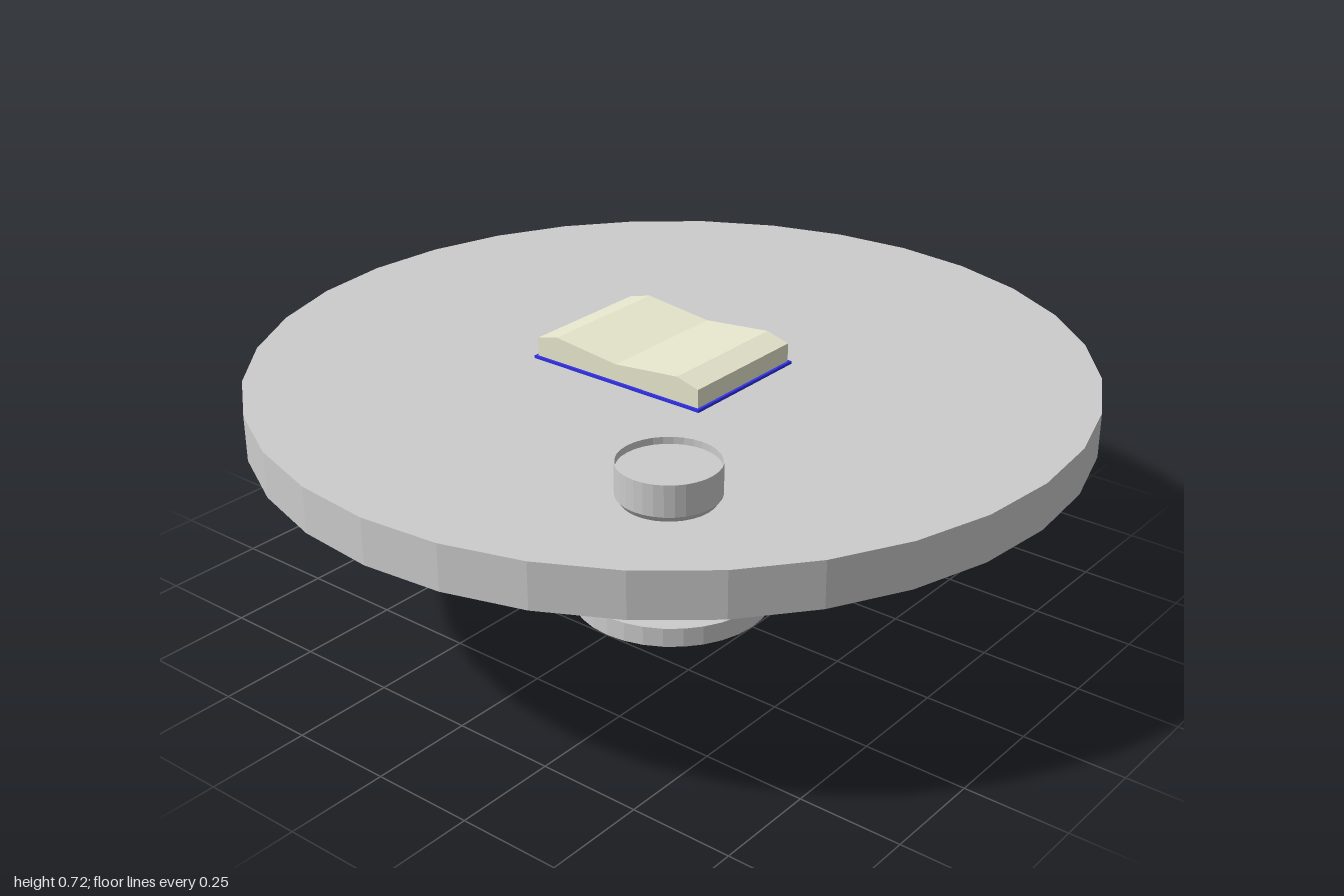
import * as THREE from 'three';

const grey = new THREE.MeshStandardMaterial({ name: 'grey', color: 0xcccccc, flatShading: true, side: THREE.DoubleSide });
const paper = new THREE.MeshStandardMaterial({ name: 'paper', color: 0xececd2, flatShading: true });
const blue = new THREE.MeshStandardMaterial({ name: 'blue', color: 0x3333ee, flatShading: true });

export function createModel() {
  const model = new THREE.Group();
  const add = (name, geometry, material, x, y, z) => {
    const mesh = new THREE.Mesh(geometry, material);
    mesh.name = name;
    mesh.position.set(x, y, z);
    model.add(mesh);
  };

  // Round pedestal table
  add('base', new THREE.CylinderGeometry(0.25, 0.25, 0.05, 32), grey, 0, 0.025, 0);
  add('post', new THREE.BoxGeometry(0.07, 0.47, 0.07), grey, 0, 0.285, 0);
  add('tableTop', new THREE.CylinderGeometry(1, 1, 0.11, 32), grey, 0, 0.575, 0);

  // Shallow dish with a bevelled foot and a thin rim
  const dish = [[0, 0], [0.103, 0], [0.113, 0.014], [0.113, 0.086], [0.111, 0.086], [0.111, 0.07], [0, 0.07]];
  add('dish', new THREE.LatheGeometry(dish.map(p => new THREE.Vector2(...p)), 32), grey, -0.545, 0.63, 0.43);

  // Open book: cover plate and pages extruded across x
  add('bookCover', new THREE.BoxGeometry(0.354, 0.007, 0.494), blue, -0.005, 0.6335, -0.025);
  const pages = new THREE.Shape([
    [-0.215, 0.636], [0.265, 0.636], [0.265, 0.682], [0.205, 0.698],
    [0.025, 0.679], [-0.155, 0.698], [-0.215, 0.682],
  ].map(p => new THREE.Vector2(...p)));
  const pageBlock = new THREE.ExtrudeGeometry(pages, { depth: 0.342, bevelEnabled: false });
  pageBlock.rotateY(Math.PI / 2);
  add('bookPages', pageBlock, paper, -0.176, 0, 0);

  return model;
}
